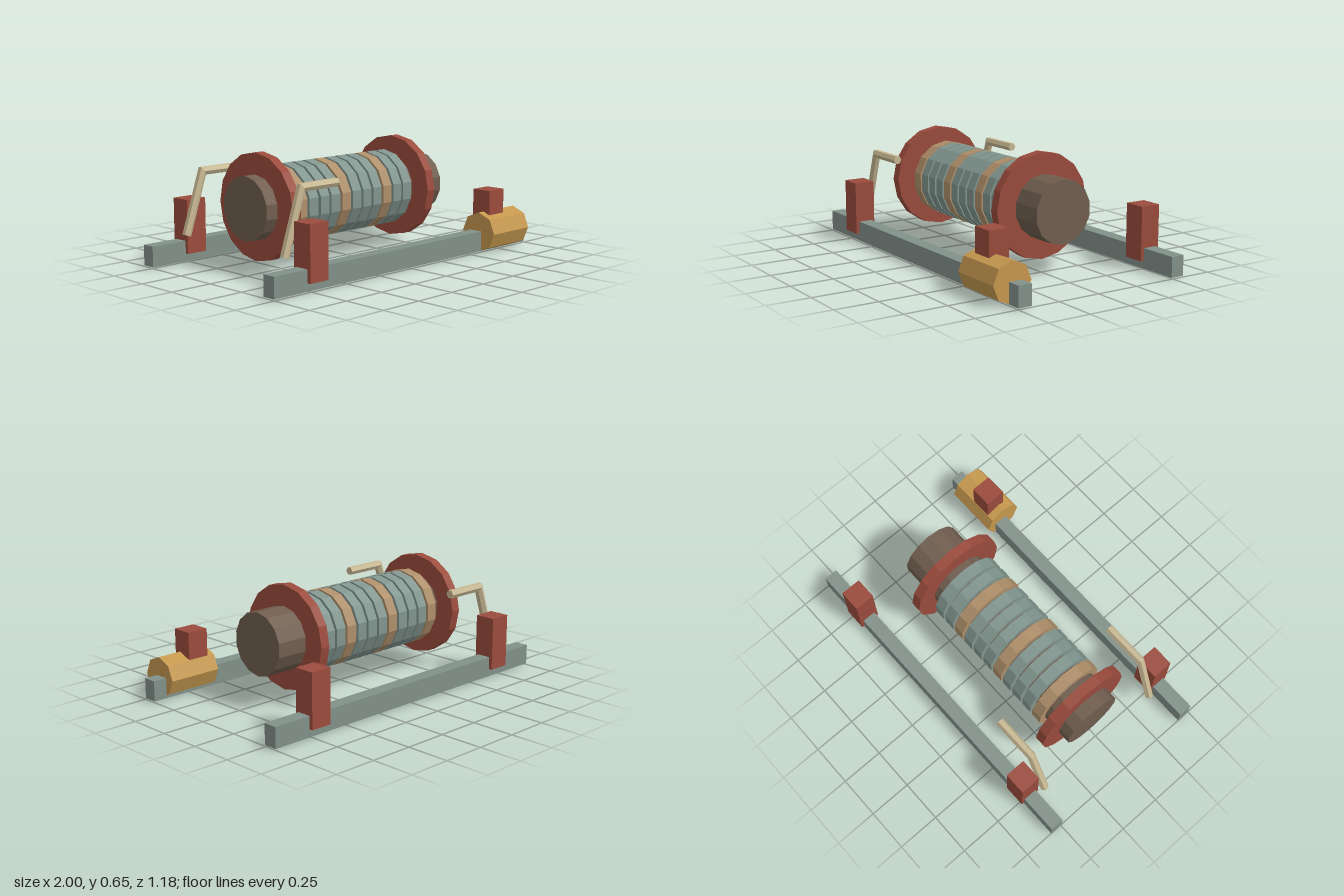
import * as THREE from 'three';

const paint = (name, color) => new THREE.MeshStandardMaterial({ name, color, flatShading: true });

export function createModel() {
  const red = paint('brick red', 0x9a4b3c);
  const rail = paint('rail grey green', 0x82918a);
  const coilGrey = paint('coil grey green', 0x82968f);
  const coilTan = paint('coil tan', 0xae8f6a);
  const brown = paint('core brown', 0x705e4f);
  const brass = paint('motor brass', 0xc6984e);
  const cream = paint('handle cream', 0xc8b892);

  const group = new THREE.Group();
  const add = (name, geometry, material) => {
    const mesh = new THREE.Mesh(geometry, material);
    mesh.name = name;
    group.add(mesh);
    return mesh;
  };

  // Box given by its limits on each axis
  const block = (name, x0, x1, y0, y1, z0, z1, material) =>
    add(name, new THREE.BoxGeometry(x1 - x0, y1 - y0, z1 - z0), material)
      .position.set((x0 + x1) / 2, (y0 + y1) / 2, (z0 + z1) / 2);

  // Faceted cylinder lying along x, with a corner on top
  const barrel = (name, x0, x1, y, z, radius, sides, material) => {
    const g = new THREE.CylinderGeometry(radius, radius, x1 - x0, sides, 1, false, Math.PI / 2);
    g.rotateZ(Math.PI / 2);
    add(name, g, material).position.set((x0 + x1) / 2, y, z);
  };

  // Bent hexagonal bar: the three rings of a cylinder follow a mitred path
  const handle = (name, z) => {
    const path = [[-0.8, 0.165], [-0.682, 0.514], [-0.43, 0.514]].map(p => new THREE.Vector2(...p));
    const normal = (a, b) => {
      const t = b.clone().sub(a).normalize();
      return new THREE.Vector2(t.y, -t.x);
    };
    const n0 = normal(path[0], path[1]);
    const n1 = normal(path[1], path[2]);
    const mitre = n0.clone().add(n1).divideScalar(1 + n0.dot(n1));
    const normals = [n0, mitre, n1];
    const g = new THREE.CylinderGeometry(0.025, 0.025, 2, 6, 2);
    const pos = g.attributes.position;
    for (let i = 0; i < pos.count; i++) {
      const ring = Math.round(pos.getY(i)) + 1;
      const p = path[ring].clone().addScaledVector(normals[ring], pos.getX(i));
      pos.setXY(i, p.x, p.y);
    }
    g.computeVertexNormals();
    add(name, g, cream).position.z = z;
  };

  // Rails with two posts each
  for (const [side, z] of [['front', 0.459], ['back', -0.532]]) {
    block(side + 'Rail', -1, 1, 0.01, 0.125, z - 0.04, z + 0.04, rail);
    block(side + 'RightPost', -0.775, -0.647, 0.053, 0.357, z - 0.06, z + 0.06, red);
    block(side + 'LeftPost', 0.643, 0.771, 0.053, 0.357, z - 0.06, z + 0.06, red);
  }

  // Drum: core, flanges and coils
  const axisY = 0.358, axisZ = -0.036;
  barrel('drumCore', -0.727, 0.647, axisY, axisZ, 0.178, 14, brown);
  barrel('rightFlange', -0.652, -0.594, axisY, axisZ, 0.296, 16, red);
  barrel('leftFlange', 0.4, 0.458, axisY, axisZ, 0.296, 16, red);
  for (let i = 0; i < 11; i++) {
    const x = -0.505 + i * 0.0818;
    barrel('coil' + (i + 1), x - 0.033, x + 0.033, axisY, axisZ, 0.219, 14, i % 4 ? coilGrey : coilTan);
  }

  // Motor around the front rail
  barrel('motor', 0.598, 0.918, 0.118, 0.478, 0.115, 8, brass);

  // Bent handles on both sides of the drum
  handle('frontHandle', 0.355);
  handle('backHandle', -0.448);

  return group;
}
